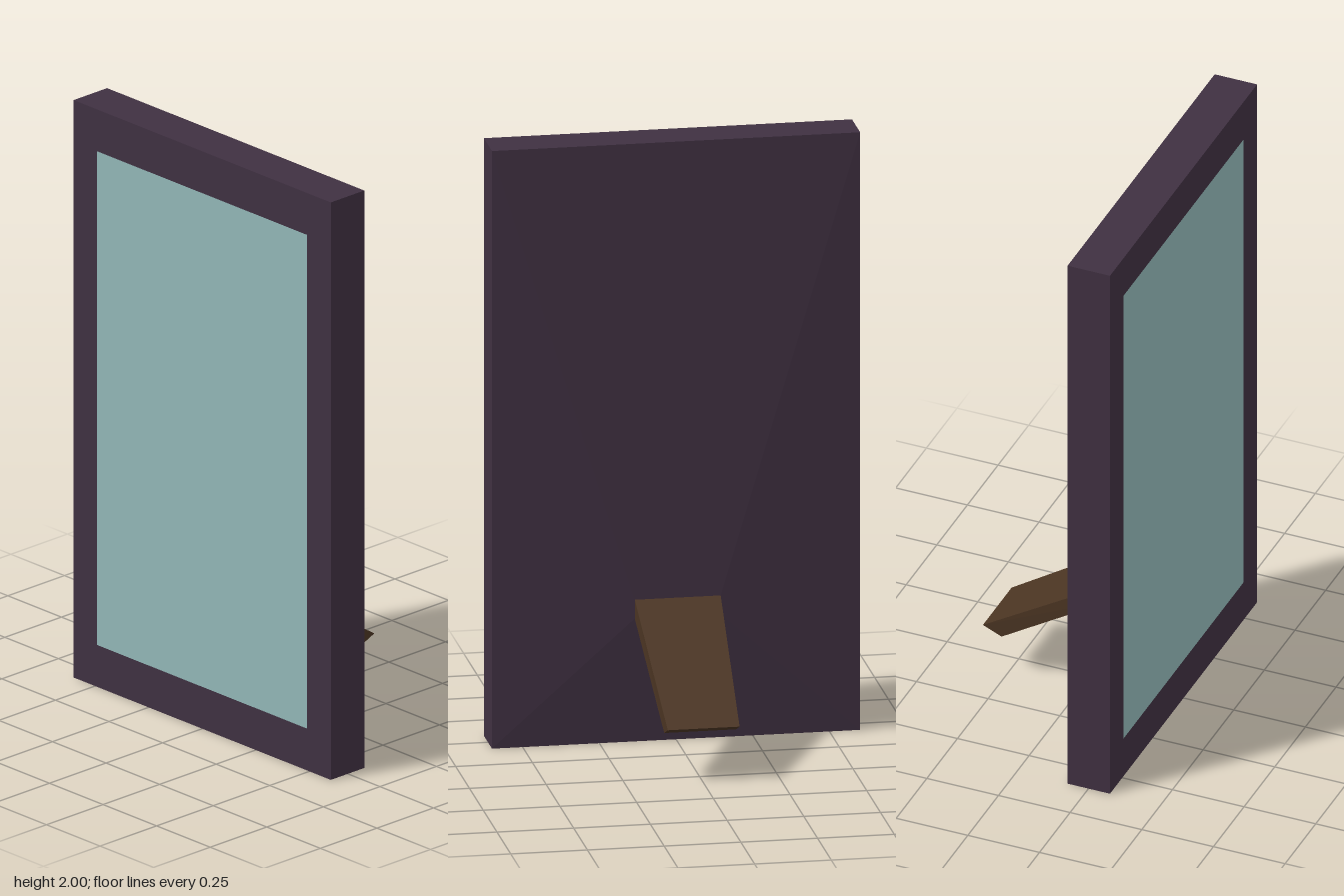
import * as THREE from 'three';

// Rectangular cross-section; the slant between low and high edge comes from xLow and xHigh.
function section(xLow, xHigh, yLow, yHigh, halfZ) {
  return [
    [xLow, yLow, -halfZ], [xHigh, yHigh, -halfZ],
    [xHigh, yHigh, halfZ], [xLow, yLow, halfZ],
  ];
}

// Joins four-cornered sections into a flat-faced skin, optionally closing the far end.
function loft(sections, closeEnd) {
  const positions = [];
  const quad = (a, b, c, d) => positions.push(...a, ...b, ...c, ...a, ...c, ...d);
  for (let i = 0; i < sections.length - 1; i++) {
    const s = sections[i], t = sections[i + 1];
    for (let k = 0; k < 4; k++) {
      const n = (k + 1) % 4;
      quad(s[k], s[n], t[n], t[k]);
    }
  }
  if (closeEnd) quad(...sections[sections.length - 1]);
  const geometry = new THREE.BufferGeometry();
  geometry.setAttribute('position', new THREE.Float32BufferAttribute(positions, 3));
  geometry.computeVertexNormals();
  return geometry;
}

export function createModel() {
  const model = new THREE.Group();
  model.name = 'pictureFrame';

  const add = (name, geometry, color) => {
    const material = new THREE.MeshStandardMaterial({ color, flatShading: true });
    const mesh = new THREE.Mesh(geometry, material);
    mesh.name = name;
    model.add(mesh);
    return mesh;
  };

  const face = -0.325, back = -0.177, hinge = -0.147;
  const legRoot = section(hinge, hinge, 0.42, 0.483, 0.14);

  // Frame: opening, face border, sides, then a back that swells towards the leg
  add('frame', loft([
    section(face, face, 0.145, 1.855, 0.49),
    section(face, face, 0, 2, 0.6),
    section(back, back, 0, 2, 0.6),
    legRoot,
  ], false), 0x3f3041);

  // Picture, flush with the face and looking towards -x
  const picture = add('picture', new THREE.PlaneGeometry(0.98, 1.71), 0x91b6b6);
  picture.rotation.y = -Math.PI / 2;
  picture.position.set(face, 1, 0);

  // Tapered leg sloping down and away from the back
  add('supportLeg', loft([
    legRoot,
    section(0.26, 0.325, 0.155, 0.183, 0.117),
  ], true), 0x4a3422);

  return model;
}
